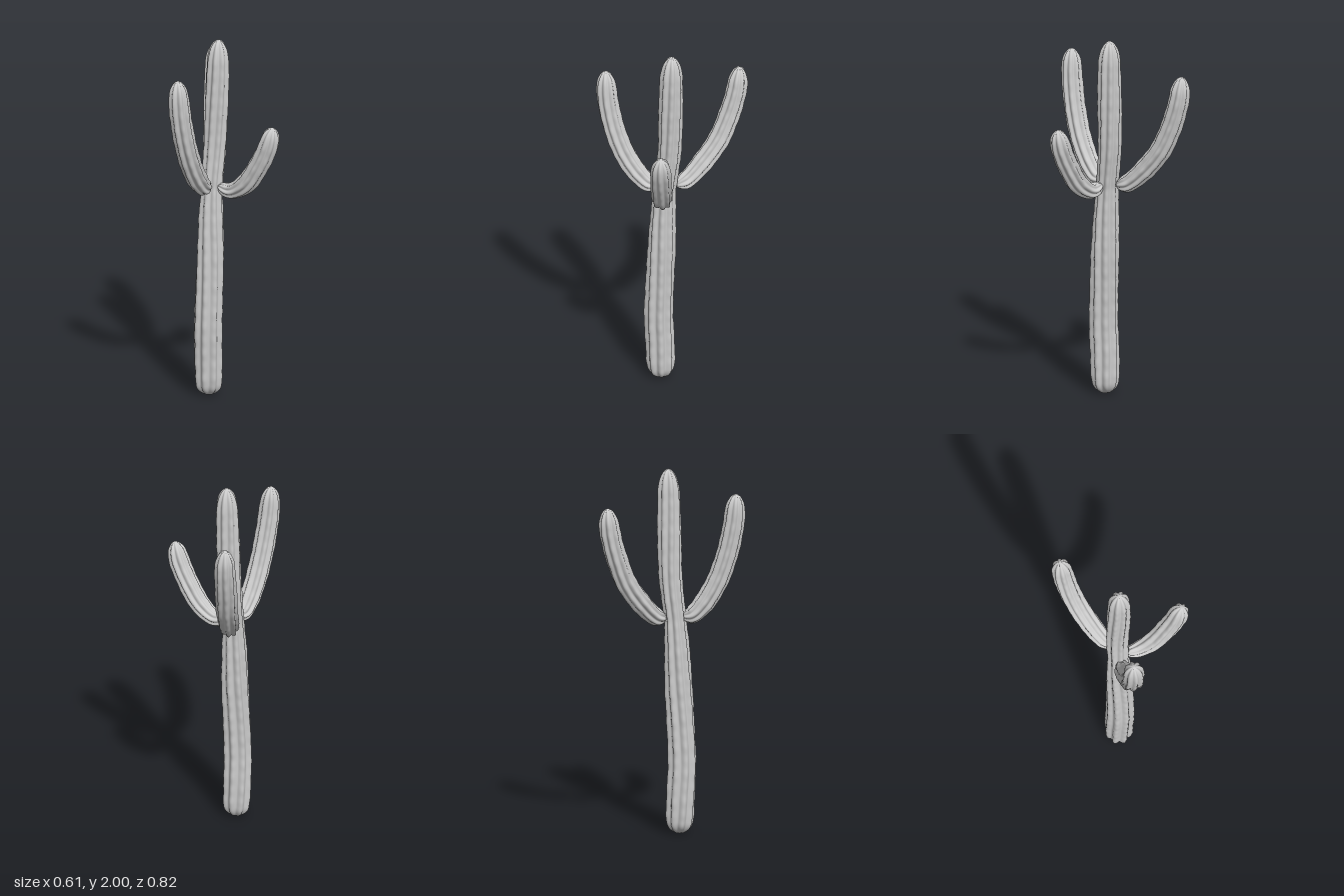
import * as THREE from 'three';
import { mergeVertices } from 'three/addons/utils/BufferGeometryUtils.js';

const material = new THREE.MeshStandardMaterial({ color: 0xcccccc });
const RIBS = 8, SIDES = 64;

// Ribbed, round-ended stem along a path. Points are [x, y, z, outer radius].
function stem(name, points, rows, capStart, capEnd, seed) {
  const curve = new THREE.CatmullRomCurve3(points.map(([x, y, z]) => new THREE.Vector3(x, y, z)));
  const length = curve.getLength();
  // Rows crowd together towards the rounded ends.
  const stops = [];
  const CAP = 10;
  for (let i = 0; i < CAP; i++) stops.push(capStart * (1 - Math.cos(i / CAP * Math.PI / 2)));
  for (let i = 0; i <= rows; i++) stops.push(capStart + (length - capStart - capEnd) * i / rows);
  for (let i = 1; i <= CAP; i++) stops.push(length - capEnd * (1 - Math.sin(i / CAP * Math.PI / 2)));

  // Outer radius at each row, blended from the control points by height along the path
  const marks = [0];
  for (let i = 1; i < points.length; i++) {
    marks.push(marks[i - 1] + Math.hypot(...[0, 1, 2].map(k => points[i][k] - points[i - 1][k])));
  }
  const radiusAt = u => {
    const d = u * marks[marks.length - 1];
    let i = 1;
    while (i < marks.length - 1 && marks[i] < d) i++;
    const f = THREE.MathUtils.clamp((d - marks[i - 1]) / (marks[i] - marks[i - 1]), 0, 1);
    return THREE.MathUtils.lerp(points[i - 1][3], points[i][3], f);
  };

  const frames = curve.computeFrenetFrames(400);
  const position = [], index = [];
  stops.forEach((d, row) => {
    const u = THREE.MathUtils.clamp(d / length, 0, 1);
    const centre = curve.getPointAt(u);
    const f = Math.round(u * 400);
    const a = Math.max(0, 1 - d / capStart), b = Math.max(0, 1 - (length - d) / capEnd);
    const round = Math.sqrt(Math.max(0, (1 - a * a) * (1 - b * b)));
    const twist = 0.12 * Math.sin(d * 4 + seed);
    for (let j = 0; j < SIDES; j++) {
      const angle = j / SIDES * Math.PI * 2;
      const rib = Math.floor(j / SIDES * RIBS + 0.5) % RIBS;
      const crest = Math.pow(0.5 + 0.5 * Math.cos(angle * RIBS), 0.8);
      // Small dents along each rib
      const dent = 0.025 * Math.sin(d * 62 + rib * 2.3 + seed) * Math.sin(d * 23 + rib * 4.1);
      const r = radiusAt(u) * round * (0.79 + (0.21 + dent) * crest);
      const p = centre.clone()
        .addScaledVector(frames.normals[f], r * Math.cos(angle + twist))
        .addScaledVector(frames.binormals[f], r * Math.sin(angle + twist));
      position.push(p.x, p.y, p.z);
      if (row > 0) {
        const k = (j + 1) % SIDES, lo = (row - 1) * SIDES, hi = row * SIDES;
        index.push(lo + j, lo + k, hi + j, lo + k, hi + k, hi + j);
      }
    }
  });
  let geometry = new THREE.BufferGeometry();
  geometry.setAttribute('position', new THREE.Float32BufferAttribute(position, 3));
  geometry.setIndex(index);
  geometry = mergeVertices(geometry, 1e-5);
  geometry.computeVertexNormals();
  const mesh = new THREE.Mesh(geometry, material);
  mesh.name = name;
  return mesh;
}

export function createModel() {
  const cactus = new THREE.Group();
  cactus.name = 'cactus';

  // Main trunk, leaning slightly and narrowing at the fork
  cactus.add(stem('trunk', [
    [-0.105, 0, 0.055, 0.07], [-0.105, 0.1, 0.06, 0.078], [-0.106, 0.22, 0.064, 0.08],
    [-0.104, 0.38, 0.071, 0.08], [-0.1, 0.6, 0.064, 0.078], [-0.097, 0.8, 0.054, 0.077],
    [-0.098, 1.0, 0.046, 0.07], [-0.097, 1.17, 0.036, 0.06], [-0.09, 1.4, 0.012, 0.064],
    [-0.082, 1.65, 0.006, 0.067], [-0.077, 1.82, 0.004, 0.064], [-0.075, 2, 0, 0.056],
  ], 150, 0.07, 0.12, 0));

  // Short arm on the model's left
  cactus.add(stem('leftArm', [
    [-0.06, 1.185, 0.042, 0.035], [0.02, 1.17, 0.045, 0.045], [0.11, 1.225, 0.052, 0.056],
    [0.185, 1.335, 0.055, 0.058], [0.24, 1.45, 0.057, 0.057], [0.272, 1.565, 0.057, 0.052],
  ], 60, 0.06, 0.09, 1.7));

  // Arm reaching forward
  cactus.add(stem('frontArm', [
    [-0.1, 1.19, 0.07, 0.04], [-0.108, 1.2, 0.125, 0.05], [-0.117, 1.265, 0.19, 0.058],
    [-0.127, 1.385, 0.26, 0.06], [-0.138, 1.535, 0.312, 0.06], [-0.148, 1.7, 0.345, 0.059],
    [-0.155, 1.865, 0.357, 0.052],
  ], 80, 0.06, 0.1, 3.1));

  // Arm reaching backward
  cactus.add(stem('backArm', [
    [-0.105, 1.185, -0.02, 0.04], [-0.135, 1.205, -0.08, 0.05], [-0.175, 1.29, -0.165, 0.058],
    [-0.21, 1.41, -0.25, 0.06], [-0.234, 1.545, -0.305, 0.06], [-0.248, 1.69, -0.345, 0.058],
    [-0.257, 1.835, -0.363, 0.052],
  ], 80, 0.06, 0.1, 4.6));

  return cactus;
}
